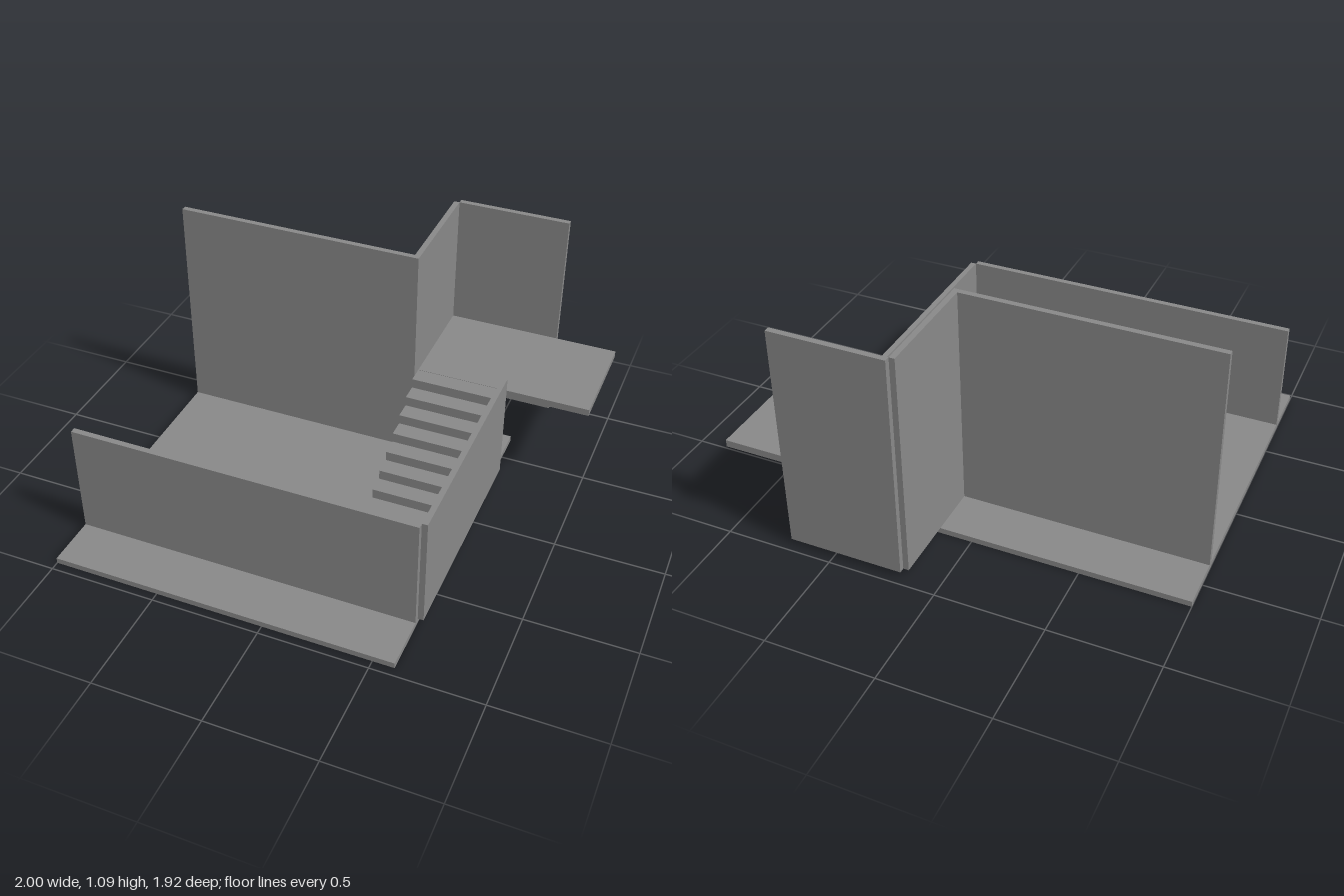
import * as THREE from 'three';

const material = new THREE.MeshStandardMaterial({ color: 0x888888 });

export function createModel() {
  const model = new THREE.Group();
  model.name = 'roomWithStairs';

  // Box given by its two limits on each axis
  const slab = (name, [x0, x1], [y0, y1], [z0, z1]) => {
    const mesh = new THREE.Mesh(new THREE.BoxGeometry(x1 - x0, y1 - y0, z1 - z0), material);
    mesh.position.set((x0 + x1) / 2, (y0 + y1) / 2, (z0 + z1) / 2);
    mesh.name = name;
    model.add(mesh);
  };

  const floorTop = 0.027, lowTop = 0.562, highTop = 1.092, landingTop = 0.455;
  const low = [floorTop, lowTop], high = [floorTop, highTop];

  // Floor and low walls
  slab('floor', [-1, 0.598], [0, floorTop], [-0.64, 0.96]);
  slab('frontWall', [-1, 0.598], low, [0.691, 0.718]);
  slab('leftWall', [0.598, 0.624], low, [-0.374, 0.691]);

  // High walls around the back and the alcove
  slab('backWall', [-1, 0.176], high, [-0.4, -0.374]);
  slab('alcoveSideWall', [0.15, 0.176], high, [-0.934, -0.4]);
  slab('alcoveBackWall', [0.176, 0.708], high, [-0.96, -0.934]);

  // Landing
  slab('landing', [0.176, 1], [0.422, landingTop], [-0.934, -0.429]);

  // Solid staircase: stepped profile in (z, y), extruded across x
  const risers = 9, stairBack = -0.427, stairTopEdge = -0.346, tread = 0.0824;
  const rise = (landingTop - floorTop) / risers;
  const profile = new THREE.Shape();
  profile.moveTo(-stairBack, floorTop);
  profile.lineTo(-stairBack, landingTop);
  for (let i = 0; i < risers; i++) {
    const z = stairTopEdge + i * tread;
    profile.lineTo(-z, landingTop - i * rise);
    profile.lineTo(-z, landingTop - (i + 1) * rise);
  }
  profile.closePath();
  const stairs = new THREE.Mesh(
    new THREE.ExtrudeGeometry(profile, { depth: 0.422, bevelEnabled: false }), material);
  stairs.rotation.y = Math.PI / 2;
  stairs.position.x = 0.176;
  stairs.name = 'stairs';
  model.add(stairs);

  return model;
}
